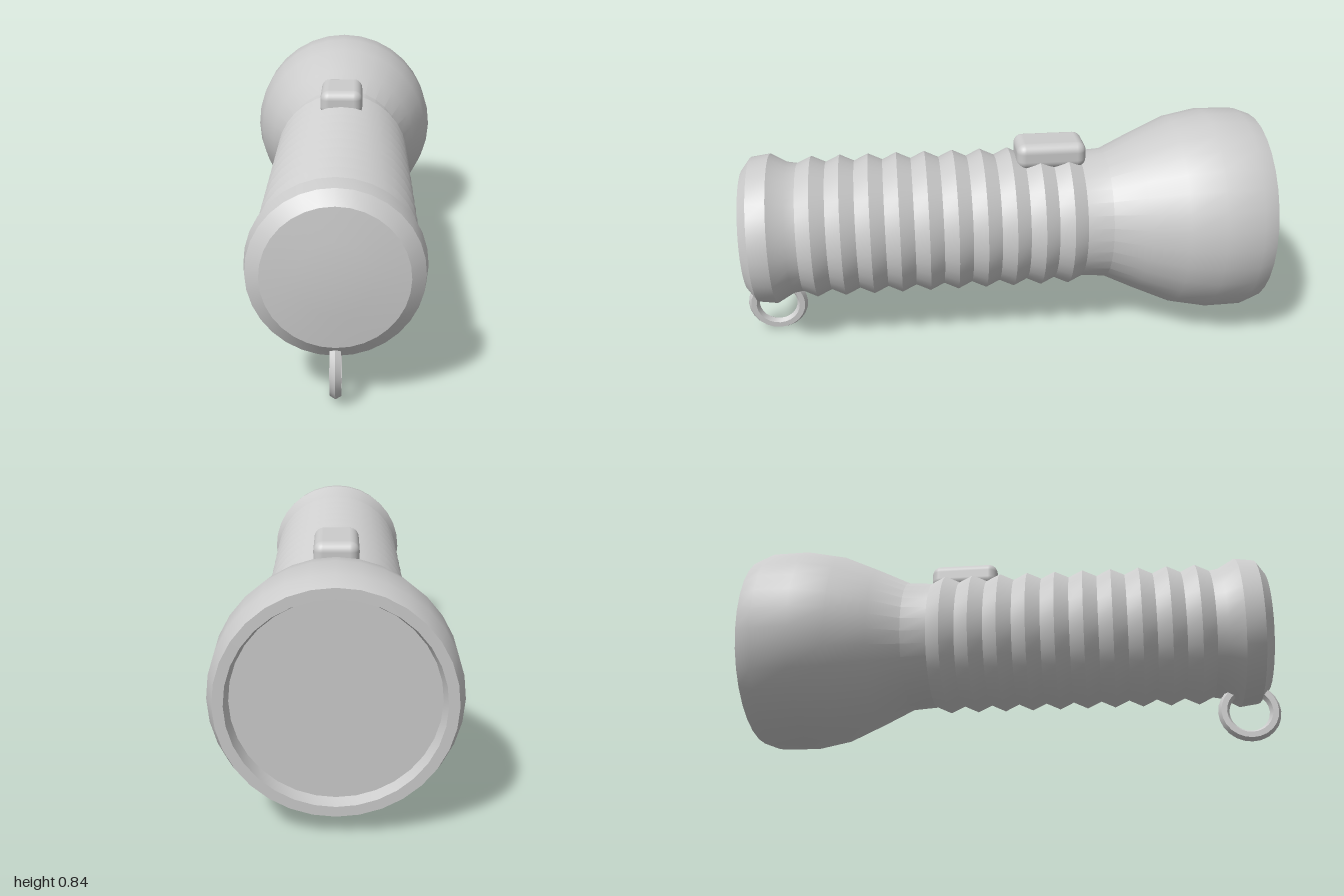
import * as THREE from 'three';
import { toCreasedNormals } from 'three/addons/utils/BufferGeometryUtils.js';
import { RoundedBoxGeometry } from 'three/addons/geometries/RoundedBoxGeometry.js';

const AXIS_Y = 0.447;
const material = new THREE.MeshStandardMaterial({ color: 0xcccccc });

// Turns a list of [radius, z] pairs (ordered by rising z) around the z axis
function turned(name, profile) {
  const points = profile.map(([r, z]) => new THREE.Vector2(r, z));
  const geometry = new THREE.LatheGeometry(points, 32).rotateX(Math.PI / 2);
  const mesh = new THREE.Mesh(toCreasedNormals(geometry, 0.4), material);
  mesh.name = name;
  mesh.position.y = AXIS_Y;
  return mesh;
}

export function createModel() {
  const group = new THREE.Group();
  group.name = 'flashlight';

  // Recessed lens
  group.add(turned('lens', [[0, -0.96], [0.325, -0.96]]));

  // Flared head with a flat rim
  group.add(turned('head', [
    [0.325, -0.96], [0.337, -1], [0.371, -1], [0.394, -0.94], [0.396, -0.8],
    [0.371, -0.67], [0.31, -0.53], [0.254, -0.41], [0.247, -0.31],
  ]));

  // Ribbed grip: ten ridges with valleys between them
  const pitch = 0.108;
  const grip = [[0.247, -0.314]];
  for (let i = 0; i < 10; i++) {
    const z = -0.26 + i * pitch;
    grip.push([0.272, z], [0.247, z + pitch / 2]);
  }
  group.add(turned('grip', grip));

  // Domed tail cap
  group.add(turned('tailCap', [
    [0.247, 0.766], [0.254, 0.805], [0.288, 0.865], [0.278, 0.937],
    [0.232, 0.972], [0.12, 0.983], [0, 0.988],
  ]));

  // Sliding switch on top
  const button = new THREE.Mesh(new RoundedBoxGeometry(0.166, 0.1, 0.264, 4, 0.035), material);
  button.name = 'switch';
  button.position.set(0, 0.722, -0.196);
  group.add(button);

  // Hanging ring under the tail
  const torus = new THREE.TorusGeometry(0.095, 0.021, 6, 24).rotateY(Math.PI / 2);
  const ring = new THREE.Mesh(toCreasedNormals(torus, 0.6), material);
  ring.name = 'hangingRing';
  ring.position.set(0, 0.117, 0.884);
  group.add(ring);

  return group;
}
